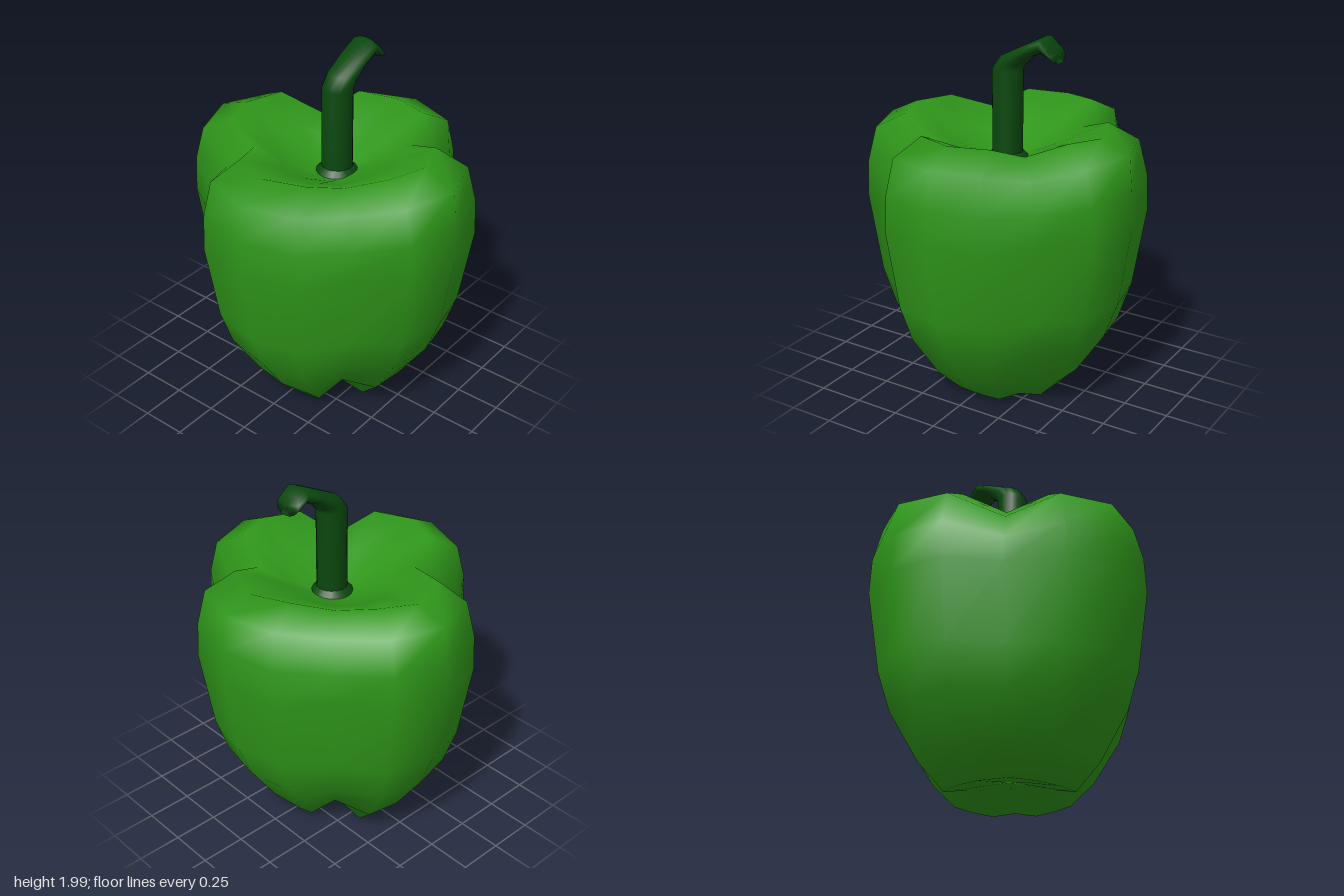
import * as THREE from 'three';

// Skin a list of closed rings (bottom to top) with shared, smooth vertices.
function loft(rings) {
  const n = rings[0].length, pos = rings.flat(2), index = [];
  for (let r = 0; r < rings.length - 1; r++) {
    for (let i = 0; i < n; i++) {
      const a = r * n + i, b = r * n + (i + 1) % n;
      index.push(a, a + n, b, b, a + n, b + n);
    }
  }
  const geometry = new THREE.BufferGeometry();
  geometry.setAttribute('position', new THREE.Float32BufferAttribute(pos, 3));
  geometry.setIndex(index);
  geometry.computeVertexNormals();
  return geometry;
}

// Profiles as [radius, height], from the underside dimple to the top hollow.
const lobe = [[0, 0.1], [0.16, 0.06], [0.34, 0.01], [0.48, 0.15], [0.65, 0.4], [0.73, 0.61],
  [0.80, 1.05], [0.79, 1.25], [0.77, 1.45], [0.60, 1.53], [0.33, 1.42], [0.13, 1.32], [0, 1.31]];
const shoulder = [[0, 0.1], [0.15, 0.06], [0.35, 0.01], [0.49, 0.15], [0.65, 0.4], [0.72, 0.61],
  [0.79, 1.05], [0.78, 1.25], [0.73, 1.44], [0.56, 1.525], [0.32, 1.41], [0.13, 1.32], [0, 1.31]];
const valley = [[0, 0.1], [0.12, 0.08], [0.22, 0.06], [0.39, 0.18], [0.55, 0.4], [0.62, 0.61],
  [0.67, 1.05], [0.65, 1.2], [0.57, 1.36], [0.42, 1.44], [0.27, 1.37], [0.13, 1.32], [0, 1.31]];
const CREST = 9;

function bodyGeometry() {
  const columns = [lobe, shoulder, valley, shoulder];
  const rings = lobe.map((_, k) => Array.from({ length: 16 }, (_, i) => {
    const a = i * Math.PI / 8, c = Math.cos(a), s = Math.sin(a);
    let [r, y] = columns[i % 4][k];
    // the front left valley closes up under the base
    if (i === 2 && k === 2) { r = 0.3; y = 0.02; }
    // the back right valley is shallower, the left and back lobes a little lower
    if (k === CREST && i === 10) y += 0.03;
    if (k === CREST && (i === 0 || i === 12)) y -= 0.02;
    return [0.965 * r * c + 0.02 * s * s, y, 1.01 * r * s + 0.04 * c * c];
  }));
  return loft(rings);
}

// Stem sections: [upper x, upper y, lower x, lower y, half width]
const stemSections = [
  [-0.063, 1.28, 0.103, 1.28, 0.083],
  [-0.063, 1.8, 0.103, 1.8, 0.083],
  [-0.01, 1.87, 0.125, 1.83, 0.083],
  [0.13, 1.94, 0.18, 1.885, 0.083],
  [0.25, 2.0, 0.245, 1.91, 0.083],
  [0.29, 1.96, 0.335, 1.865, 0.08],
  [0.315, 1.91, 0.315, 1.91, 0],
];

function stemGeometry() {
  return loft(stemSections.map(([ux, uy, lx, ly, w]) => Array.from({ length: 16 }, (_, i) => {
    const a = i * Math.PI / 8, t = (1 + Math.cos(a)) / 2;
    return [ux + (lx - ux) * t, uy + (ly - uy) * t, 0.04 + w * Math.sin(a)];
  })));
}

export function createModel() {
  const group = new THREE.Group();
  const green = new THREE.MeshStandardMaterial({ color: 0x2f961a });
  const dark = new THREE.MeshStandardMaterial({ color: 0x0a470e, side: THREE.DoubleSide });
  const add = (name, geometry, material) => {
    const mesh = new THREE.Mesh(geometry, material);
    mesh.name = name;
    group.add(mesh);
    return mesh;
  };

  // Four-lobed fruit
  add('fruitBody', bodyGeometry(), green);

  // Hooked stem and its flared foot
  add('stem', stemGeometry(), dark);
  add('stemFoot', new THREE.CylinderGeometry(0.083, 0.12, 0.04, 16), dark).position.set(0.02, 1.33, 0.04);

  return group;
}
